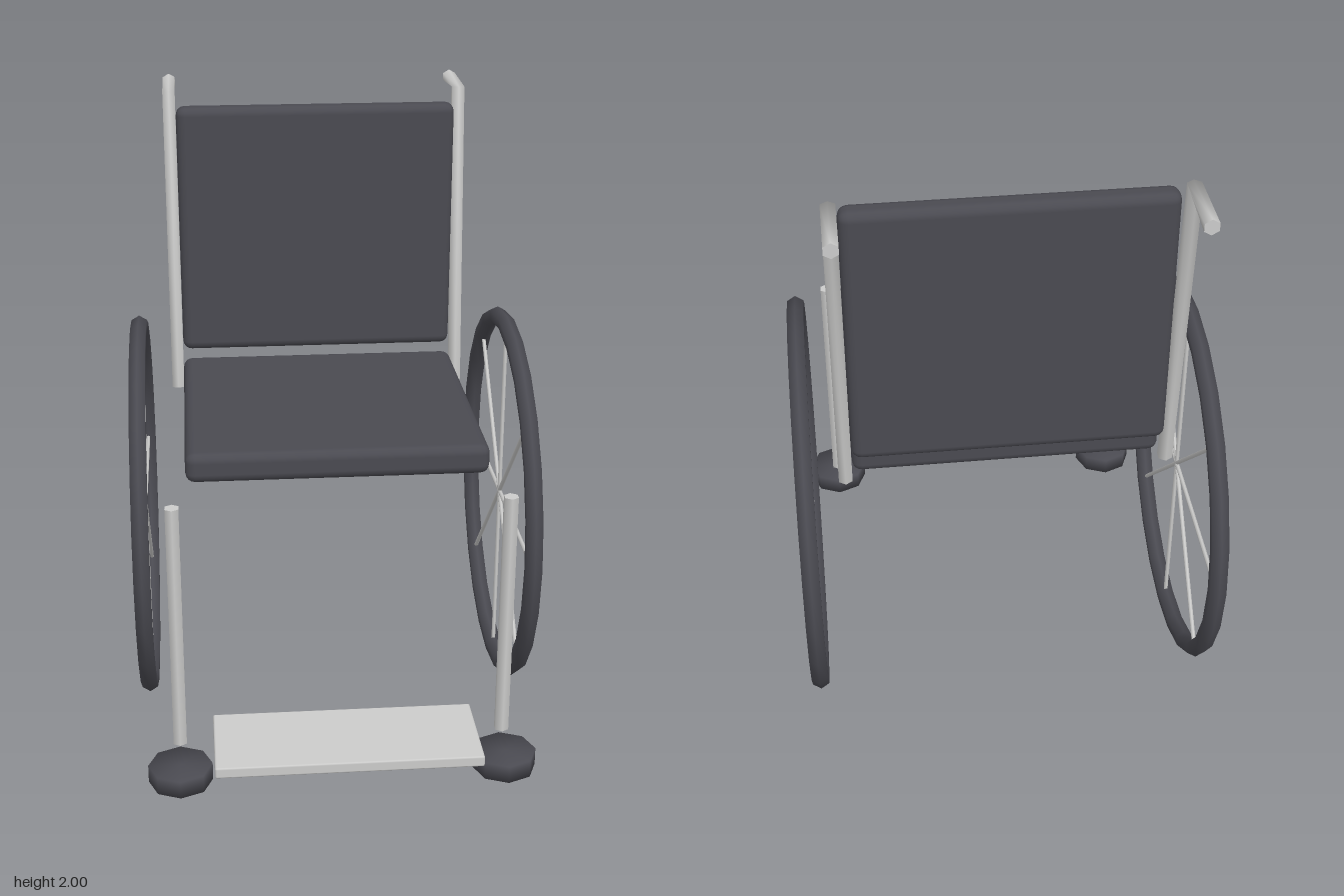
import * as THREE from 'three';
import { RoundedBoxGeometry } from 'three/addons/geometries/RoundedBoxGeometry.js';
import { mergeVertices } from 'three/addons/utils/BufferGeometryUtils.js';

const SIDES = 6;

// Bent tube: rings of [centre, direction that points to the first corner], with end caps
function bentTube(sections, r) {
  const rings = [sections[0], ...sections, sections[sections.length - 1]];
  const pos = [], index = [];
  for (const [c, u] of rings) {
    const dir = new THREE.Vector3(...u).normalize();
    for (let j = 0; j < SIDES; j++) {
      const a = (j / SIDES) * Math.PI * 2;
      pos.push(
        c[0] + r * Math.sin(a),
        c[1] + r * Math.cos(a) * dir.y,
        c[2] + r * Math.cos(a) * dir.z
      );
    }
  }
  for (let i = 1; i < rings.length - 2; i++) {
    for (let j = 0; j < SIDES; j++) {
      const k = (j + 1) % SIDES, a = i * SIDES, b = a + SIDES;
      index.push(a + j, a + k, b + j, a + k, b + k, b + j);
    }
  }
  const last = (rings.length - 1) * SIDES;
  for (let j = 1; j < SIDES - 1; j++) {
    index.push(0, j + 1, j, last, last + j, last + j + 1);
  }
  const g = new THREE.BufferGeometry();
  g.setAttribute('position', new THREE.Float32BufferAttribute(pos, 3));
  g.setIndex(index);
  g.computeVertexNormals();
  return g;
}

// Cylinder whose normals run smoothly over the rim
function softCylinder(r, h, sides) {
  let g = new THREE.CylinderGeometry(r, r, h, sides);
  g.deleteAttribute('uv');
  g.deleteAttribute('normal');
  g = mergeVertices(g);
  g.computeVertexNormals();
  return g;
}

export function createModel() {
  const model = new THREE.Group();
  model.name = 'wheelchair';

  const dark = new THREE.MeshStandardMaterial({ color: 0x4a4a51 });
  dark.name = 'dark grey padding and rubber';
  const metal = new THREE.MeshStandardMaterial({ color: 0xcccccb });
  metal.name = 'light grey metal';

  const add = (name, geometry, material, x, y, z, parent = model) => {
    const mesh = new THREE.Mesh(geometry, material);
    mesh.name = name;
    mesh.position.set(x, y, z);
    parent.add(mesh);
    return mesh;
  };

  // Cushions and footrest
  add('seat', new RoundedBoxGeometry(0.94, 0.096, 0.9, 2, 0.03), dark, 0, 1.018, -0.05);
  add('backrest', new RoundedBoxGeometry(0.94, 0.855, 0.076, 2, 0.03), dark, 0, 1.511, -0.54);
  add('footrest', new RoundedBoxGeometry(0.815, 0.036, 0.305, 1, 0.006), metal, 0, 0.217, 0.678);

  // Shared parts for both sides
  const rod = bentTube([
    [[0, 0.953, -0.5], [0, 0.1, 1]],
    [[0, 1.98, -0.595], [0, 0.1, 1]],
    [[0, 1.976, -0.803], [0, 1, 0]],
  ], 0.024);
  const leg = new THREE.CylinderGeometry(0.024, 0.024, 0.815, SIDES);
  const caster = softCylinder(0.101, 0.058, 8);
  const tyre = new THREE.TorusGeometry(0.612, 0.03, SIDES, 24).rotateY(Math.PI / 2);
  const spoke = new THREE.CylinderGeometry(0.007, 0.007, 1.23, SIDES);

  for (const [side, s] of [['left', 1], ['right', -1]]) {
    add(side + 'BackPostAndHandle', rod, metal, s * 0.492, 0, 0);
    add(side + 'FrontLeg', leg, metal, s * 0.513, 0.547, 0.526);
    add(side + 'Caster', caster, dark, s * 0.514, 0.066, 0.585);

    // Large wheel: tyre and four full-width spokes
    const wheel = new THREE.Group();
    wheel.name = side + 'Wheel';
    wheel.position.set(s * 0.615, 0.647, -0.19);
    model.add(wheel);
    add('tyre', tyre, dark, 0, 0, 0, wheel);
    for (let i = 0; i < 4; i++) {
      add('spoke', spoke, metal, 0, 0, 0, wheel).rotation.x = (i * Math.PI) / 4;
    }
  }
  return model;
}
